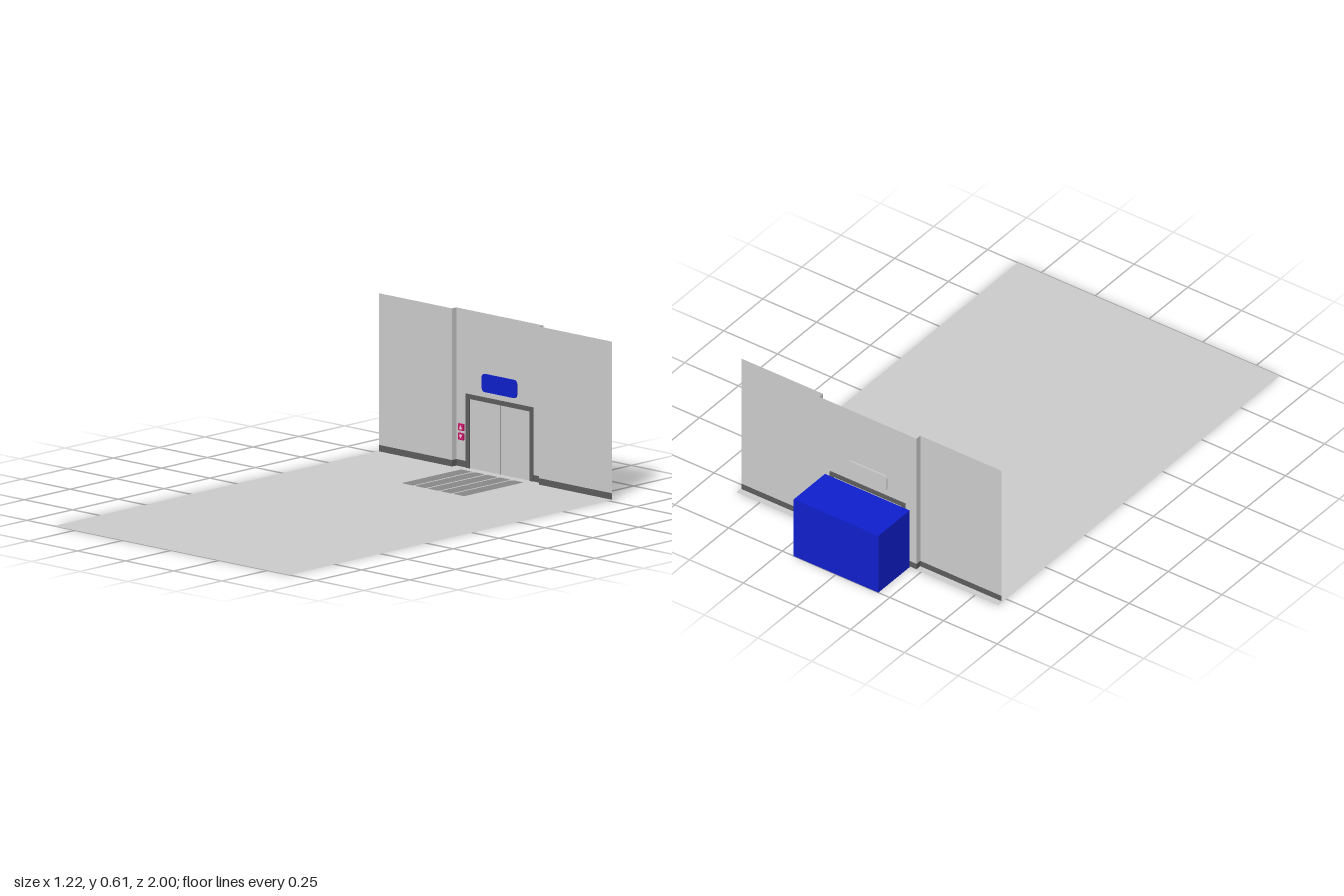
import * as THREE from 'three';

const paint = (color) => new THREE.MeshStandardMaterial({ color, side: THREE.DoubleSide });
const grey = paint(0xcccccc);
const dark = paint(0x5c5c5c);
const stripGrey = paint(0x888888);
const blue = paint(0x0f1fcc);
const pink = paint(0xcc1769);
const pale = paint(0xf3cfe0);

const HALF_W = 0.605, WALL_H = 0.61, SKIRT_H = 0.025;
const STEP_X = 0.226, SIDE_Z = -0.772, MID_Z = -0.796;
const DOOR_X = 0.157, DOOR_H = 0.268, FRAME_X = 0.175, FRAME_H = 0.286;

function add(parent, name, geometry, material, x = 0, y = 0, z = 0) {
  const mesh = new THREE.Mesh(geometry, material);
  mesh.name = name;
  mesh.position.set(x, y, z);
  parent.add(mesh);
  return mesh;
}

// Upright sheet facing +z, given by its x and y limits
function sheet(parent, name, material, x0, x1, y0, y1, z) {
  return add(parent, name, new THREE.PlaneGeometry(x1 - x0, y1 - y0), material, (x0 + x1) / 2, (y0 + y1) / 2, z);
}

function polygon(points) {
  return new THREE.Shape(points.map(([x, y]) => new THREE.Vector2(x, y)));
}

function roundedRect(w, h, r) {
  const s = new THREE.Shape();
  const x = w / 2, y = h / 2;
  s.moveTo(-x + r, -y);
  s.lineTo(x - r, -y);
  s.absarc(x - r, -y + r, r, -Math.PI / 2, 0);
  s.absarc(x - r, y - r, r, 0, Math.PI / 2);
  s.absarc(-x + r, y - r, r, Math.PI / 2, Math.PI);
  s.absarc(-x + r, -y + r, r, Math.PI, Math.PI * 1.5);
  return s;
}

// Arch outline open at the floor
function arch(outX, outY, inX, inY, base) {
  return polygon([[-outX, base], [-outX, outY], [outX, outY], [outX, base],
    [inX, base], [inX, inY], [-inX, inY], [-inX, base]]);
}

export function createModel() {
  const model = new THREE.Group();
  model.name = 'elevatorLobby';

  // Floor
  const floor = add(model, 'floor', new THREE.PlaneGeometry(1.22, 1.8), grey, 0, 0, 0.1);
  floor.rotation.x = -Math.PI / 2;

  // Rounded strips set in the floor before the door
  const stripShape = new THREE.ShapeGeometry(roundedRect(0.059, 0.327, 0.01), 4);
  for (let i = -2; i <= 2; i++) {
    const strip = add(model, 'floorStrip', stripShape, stripGrey, i * 0.0665, 0.0015, -0.592);
    strip.rotation.x = -Math.PI / 2;
  }

  // Folded wall: two forward side panels joined by steps to a recessed middle
  const wall = new THREE.Group();
  wall.name = 'wall';
  model.add(wall);
  const bands = [['Skirting', dark, 0, SKIRT_H], ['Panel', grey, SKIRT_H, WALL_H]];
  for (const side of [-1, 1]) {
    for (const [label, material, y0, y1] of bands) {
      const a = side * STEP_X, b = side * HALF_W;
      sheet(wall, 'side' + label, material, Math.min(a, b), Math.max(a, b), y0, y1, SIDE_Z);
      const step = add(wall, 'step' + label, new THREE.PlaneGeometry(SIDE_Z - MID_Z, y1 - y0), material,
        a, (y0 + y1) / 2, (SIDE_Z + MID_Z) / 2);
      step.rotation.y = -side * Math.PI / 2;
    }
    const inner = side * FRAME_X, outer = side * STEP_X;
    sheet(wall, 'middleSkirting', dark, Math.min(inner, outer), Math.max(inner, outer), 0, SKIRT_H, MID_Z);
  }
  add(wall, 'middlePanel',
    new THREE.ShapeGeometry(arch(STEP_X, WALL_H, FRAME_X, FRAME_H, SKIRT_H)), grey, 0, 0, MID_Z);

  // Door frame and its two sliding leaves
  add(model, 'doorFrame', new THREE.ExtrudeGeometry(arch(FRAME_X, FRAME_H, DOOR_X, DOOR_H, 0),
    { depth: 0.007, bevelEnabled: false }), dark, 0, 0, -0.8);
  for (const side of [-1, 1]) {
    const w = DOOR_X - 0.001;
    sheet(model, 'doorLeaf', grey, side > 0 ? 0.001 : -DOOR_X, side > 0 ? 0.001 + w : -0.001, 0, DOOR_H, -0.798);
  }
  sheet(model, 'doorGap', dark, -0.001, 0.001, 0, DOOR_H, -0.7985);

  // Lift car behind the wall
  add(model, 'liftCar', new THREE.BoxGeometry(0.394, 0.265, 0.2), blue, 0, 0.1325, -0.9);

  // Sign over the door with a plain back
  const signShape = roundedRect(0.182, 0.07, 0.016);
  add(model, 'sign', new THREE.ExtrudeGeometry(signShape, { depth: 0.004, bevelEnabled: false, curveSegments: 6 }),
    blue, 0, 0.342, -0.797 + 0.0015);
  add(model, 'signBack', new THREE.ExtrudeGeometry(signShape, { depth: 0.006, bevelEnabled: false, curveSegments: 6 }),
    grey, 0, 0.342, -0.8025);

  // Call buttons with an up and a down arrow
  const arrow = new THREE.ShapeGeometry(polygon([[-0.009, -0.008], [0.009, -0.008], [0, 0.009]]));
  for (const [y, turn] of [[0.153, 0], [0.117, Math.PI]]) {
    add(model, 'callButton', new THREE.BoxGeometry(0.027, 0.026, 0.006), pink, -0.198, y, -0.796 + 0.0035);
    add(model, 'callArrow', arrow, pale, -0.198, y, -0.789).rotation.z = turn;
  }

  return model;
}
